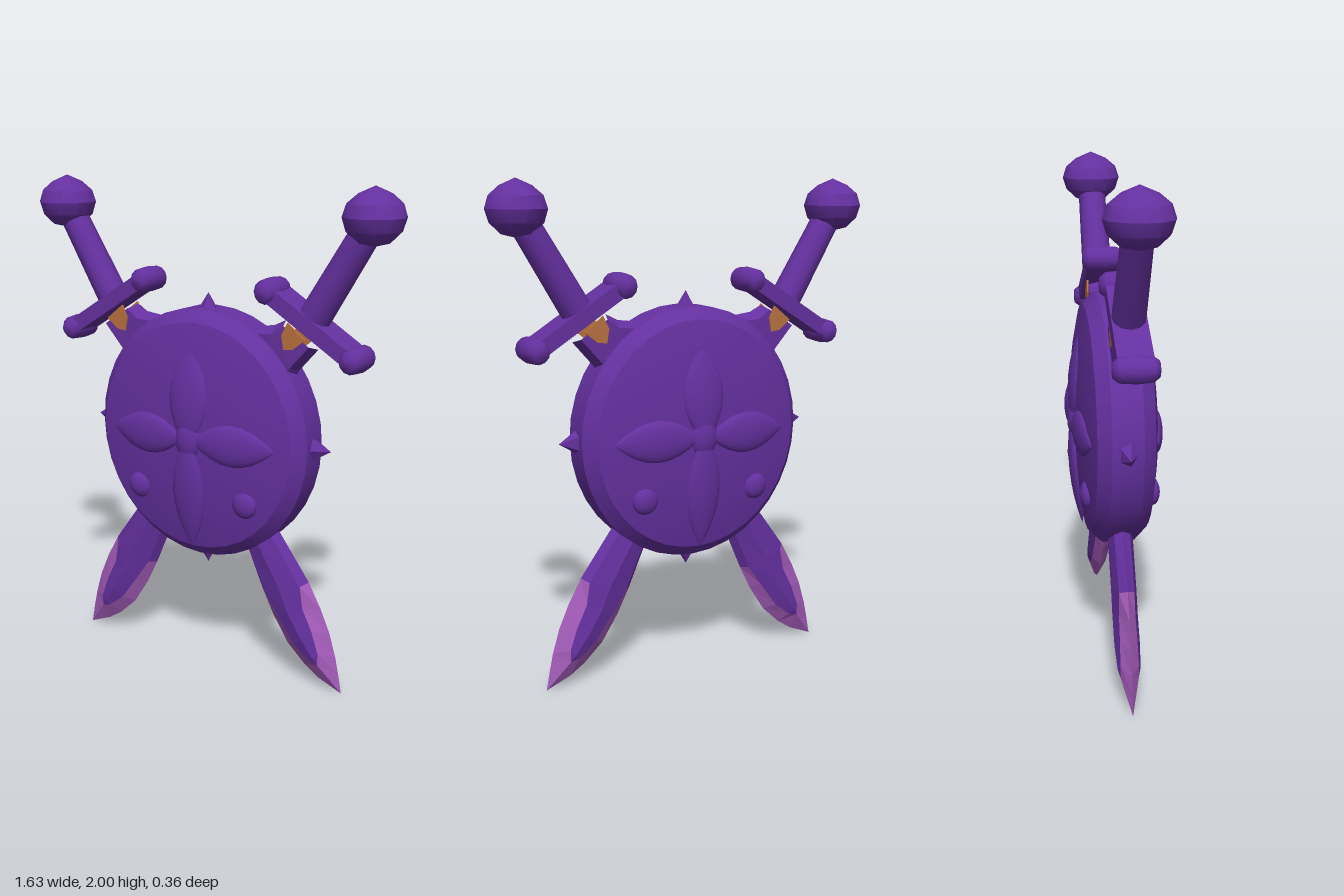
import * as THREE from 'three';
import { toCreasedNormals } from 'three/addons/utils/BufferGeometryUtils.js';

const mat = (name, color) => Object.assign(new THREE.MeshStandardMaterial({ color }), { name });

export function createModel() {
  const purple = mat('deep purple', 0x64309f);
  const lilac = mat('lilac blade edge', 0xa45cba);
  const copper = mat('copper inlay', 0xb8713f);
  const model = new THREE.Group();
  model.name = 'shieldWithCrossedSwords';

  const add = (parent, name, geo, material, x = 0, y = 0, z = 0) => {
    const m = new THREE.Mesh(geo, material);
    m.name = name;
    m.position.set(x, y, z);
    parent.add(m);
    return m;
  };
  const lathe = (pts, seg) => new THREE.LatheGeometry(pts.map(p => new THREE.Vector2(...p)), seg);

  // ---- Shield: domed disc, the same on both faces
  const CY = 1.0;
  const half = [[0.485, 0.06], [0.44, 0.11], [0.33, 0.135], [0.18, 0.15], [0, 0.156]];
  const profile = [...half.map(([r, z]) => [r, -z]).reverse(), ...half];
  const disc = lathe(profile, 36);
  disc.rotateX(Math.PI / 2).scale(1, 1.05, 1);
  add(model, 'shield', toCreasedNormals(disc, 0.6), purple, 0, CY, 0);

  // Leaf with pointed ends along x
  const leaf = (len, width, height) => {
    const g = new THREE.SphereGeometry(1, 20, 12);
    g.rotateZ(Math.PI / 2);
    const p = g.attributes.position;
    for (let i = 0; i < p.count; i++) {
      const t = Math.sqrt(Math.max(0, 1 - p.getX(i) ** 2));
      p.setXYZ(i, p.getX(i) * len, p.getY(i) * width * t, p.getZ(i) * height * t);
    }
    g.computeVertexNormals();
    return g;
  };

  // Star, boss and studs, repeated on front and back
  for (const back of [0, 1]) {
    const face = new THREE.Group();
    face.name = back ? 'backOrnament' : 'frontOrnament';
    face.rotation.y = back * Math.PI;
    const arms = [[0, 0.2, 0.18, 0.085], [90, 0.17, 0.2, 0.09], [180, 0.2, 0.18, 0.085], [270, 0.22, 0.24, 0.075]];
    for (const [deg, dist, len, width] of arms) {
      const g = leaf(len, width, 0.03);
      g.rotateY(0.09).translate(dist, 0, 0.144).rotateZ(deg * Math.PI / 180);
      add(face, 'starArm', g, purple, 0, CY, 0);
    }
    const boss = new THREE.SphereGeometry(1, 16, 10);
    boss.scale(0.06, 0.085, 0.035);
    add(face, 'boss', boss, purple, 0, CY, 0.146);
    for (const s of [-1, 1]) {
      const stud = new THREE.SphereGeometry(1, 14, 10);
      stud.scale(0.055, 0.055, 0.03);
      add(face, 'stud', stud, purple, s * 0.25, 0.765, 0.128);
    }
    model.add(face);
  }

  // Rim spikes
  for (let i = 0; i < 4; i++) {
    const g = new THREE.ConeGeometry(0.07, 0.11, 5).toNonIndexed();
    g.computeVertexNormals();
    g.scale(1, 1, 0.8).translate(0, i % 2 ? 0.5 : 0.512, 0).rotateZ(i * Math.PI / 2);
    add(model, 'rimSpike', g, purple, 0, CY, 0);
  }

  // ---- Blade sections: left edge, left bevel, right bevel, right edge, bevel z, ridge z
  const sections = [
    [[-0.49, 1.39], [-0.475, 1.405], [-0.365, 1.475], [-0.35, 1.49], 0.05, 0.05],
    [[-0.41, 1.30], [-0.395, 1.315], [-0.315, 1.44], [-0.30, 1.465], 0.05, 0.05],
    [[-0.38, 1.25], [-0.36, 1.27], [-0.20, 1.43], [-0.18, 1.45], 0.045, 0.05],
    [[0.06, 0.76], [0.08, 0.775], [0.22, 0.80], [0.24, 0.81], 0.035, 0.05],
    [[0.20, 0.52], [0.22, 0.535], [0.32, 0.615], [0.34, 0.63], 0.032, 0.05],
    [[0.265, 0.37], [0.29, 0.375], [0.45, 0.43], [0.475, 0.445], 0.03, 0.05],
    [[0.315, 0.27], [0.35, 0.29], [0.465, 0.34], [0.53, 0.345], 0.032, 0.05],
    [[0.385, 0.16], [0.43, 0.18], [0.51, 0.25], [0.572, 0.25], 0.034, 0.05],
    [[0.465, 0.085], [0.50, 0.125], [0.54, 0.165], [0.602, 0.15], 0.036, 0.045],
    [[0.53, 0.042], [0.54, 0.115], [0.54, 0.115], [0.617, 0.08], 0.036, 0.036],
    [[0.632, 0], [0.632, 0], [0.632, 0], [0.632, 0], 0, 0],
  ];
  const bladeGeometry = () => {
    const rings = sections.map(([L, l, r, R, zb, zr]) => {
      const m = [(l[0] + r[0]) / 2, (l[1] + r[1]) / 2];
      return [[...L, 0], [...l, zb], [...m, zr], [...r, zb], [...R, 0], [...r, -zb], [...m, -zr], [...l, -zb]];
    });
    const dark = [], light = [];
    for (let k = 0; k < rings.length - 1; k++) {
      for (let j = 0; j < 8; j++) {
        const n = (j + 1) % 8;
        const a = rings[k][j], b = rings[k + 1][j], c = rings[k + 1][n], d = rings[k][n];
        const isEdge = k >= 9 || (k >= 5 && [0, 3, 4, 7].includes(j));
        (isEdge ? light : dark).push(...a, ...b, ...c, ...a, ...c, ...d);
      }
    }
    const g = new THREE.BufferGeometry();
    g.setAttribute('position', new THREE.Float32BufferAttribute([...dark, ...light], 3));
    g.addGroup(0, dark.length / 3, 0);
    g.addGroup(dark.length / 3, light.length / 3, 1);
    g.computeVertexNormals();
    return g;
  };

  // ---- Sword: hilt at upper left, tip at lower right
  const makeSword = () => {
    const sword = new THREE.Group();
    add(sword, 'blade', bladeGeometry(), [purple, lilac]);

    // Copper inlay below the guard on both faces
    const inlay = new THREE.Shape([[-0.46, 1.43], [-0.41, 1.39], [-0.37, 1.385], [-0.36, 1.44], [-0.385, 1.49]]
      .map(p => new THREE.Vector2(...p)));
    for (const z of [0.048, -0.056]) {
      add(sword, 'inlay', new THREE.ExtrudeGeometry(inlay, { depth: 0.008, bevelEnabled: false }), copper, 0, 0, z);
    }

    // Grip
    const from = new THREE.Vector2(-0.45, 1.475), to = new THREE.Vector2(-0.69, 1.87);
    const dir = to.clone().sub(from);
    const grip = new THREE.CylinderGeometry(0.057, 0.064, dir.length(), 12);
    grip.rotateZ(Math.atan2(-dir.x, dir.y));
    add(sword, 'grip', grip, purple, (from.x + to.x) / 2, (from.y + to.y) / 2, 0);

    // Cross guard with rounded ends
    const ends = [[-0.65, 1.37], [-0.288, 1.597]];
    const dx = ends[1][0] - ends[0][0], dy = ends[1][1] - ends[0][1];
    const bar = new THREE.BoxGeometry(Math.hypot(dx, dy), 0.06, 0.13);
    bar.rotateZ(Math.atan2(dy, dx));
    add(sword, 'guard', bar, purple, (ends[0][0] + ends[1][0]) / 2, (ends[0][1] + ends[1][1]) / 2, 0);
    for (const [x, y] of ends) {
      const knob = lathe([[0, -0.085], [0.03, -0.082], [0.047, -0.06], [0.052, 0], [0.047, 0.06], [0.03, 0.082], [0, 0.085]], 12);
      knob.rotateX(Math.PI / 2);
      add(sword, 'guardEnd', knob, purple, x, y, 0);
    }

    // Pommel with a blunt point on top
    const pommel = lathe([[0, -0.105], [0.06, -0.09], [0.1, -0.05], [0.115, 0], [0.1, 0.048], [0.06, 0.083], [0, 0.11]], 12);
    pommel.scale(1, 1, 1.08);
    add(sword, 'pommel', toCreasedNormals(pommel, 0.55), purple, -0.698, 1.89, 0);
    return sword;
  };

  // Half a turn gives the mirrored sword, as each is alike front and back
  for (const i of [0, 1]) {
    const sword = makeSword();
    sword.name = i ? 'leftSword' : 'rightSword';
    sword.rotation.y = i * Math.PI;
    model.add(sword);
  }
  return model;
}
